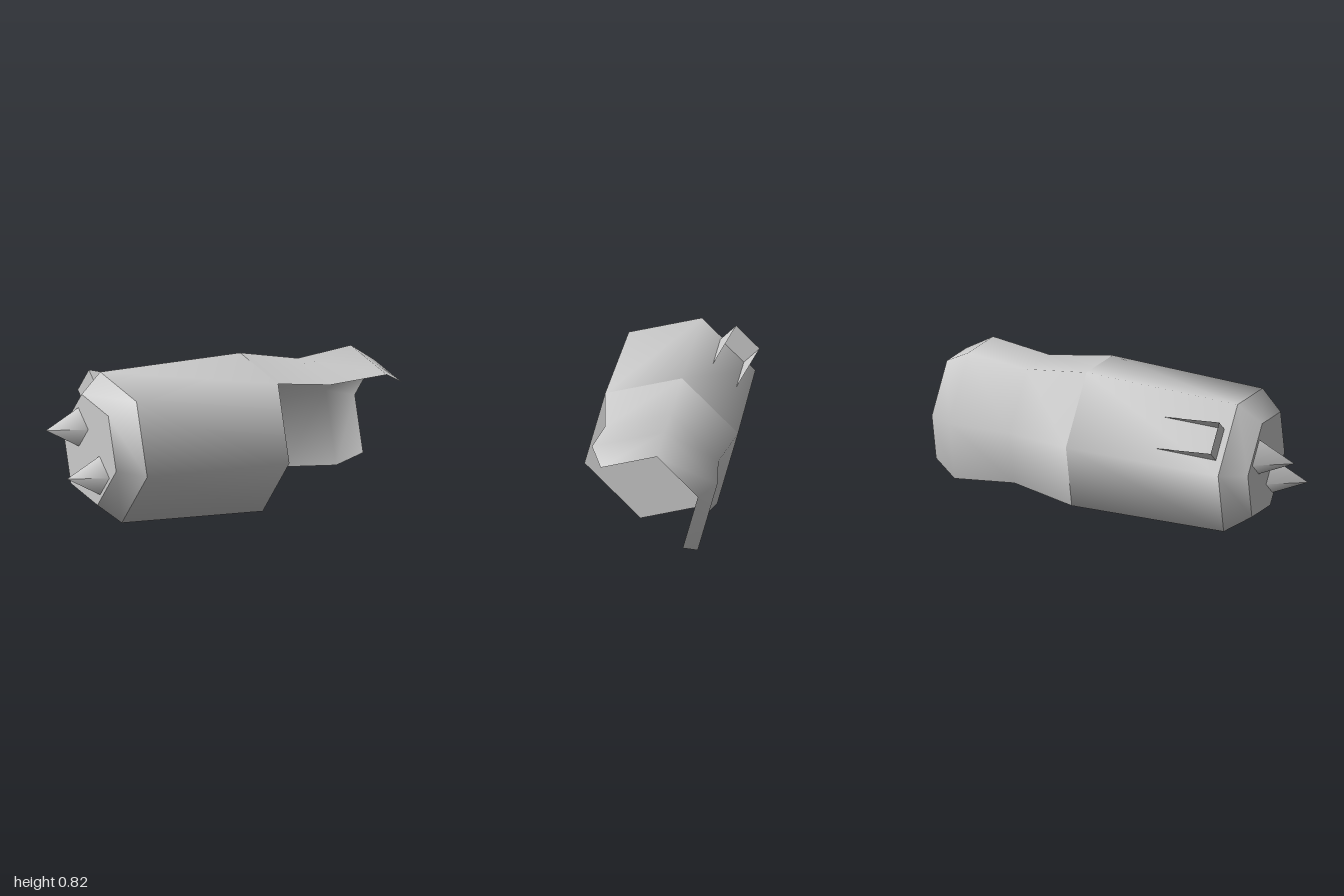
import * as THREE from 'three';

const grey = new THREE.MeshStandardMaterial({ color: 0xcccccc, side: THREE.DoubleSide });
grey.name = 'light grey';

const START = Math.PI / 4, STEP = Math.PI / 3;

// Skin over six-sided rings [position along x, radius]; 'sides' below 6 leaves it open
function loft(name, rings, sides = 6, start = START) {
  const closed = sides === 6, n = closed ? 6 : sides + 1;
  const pos = [], idx = [];
  for (const [s, r] of rings) {
    for (let j = 0; j < n; j++) {
      const a = start + j * STEP;
      pos.push(s, r * Math.cos(a), r * Math.sin(a));
    }
  }
  for (let i = 0; i < rings.length - 1; i++) {
    for (let j = 0; j < sides; j++) {
      const a = i * n + j, b = i * n + (j + 1) % n;
      idx.push(a, b, b + n, a, b + n, a + n);
    }
  }
  return makeMesh(name, pos, idx);
}

function makeMesh(name, pos, idx) {
  const geo = new THREE.BufferGeometry();
  geo.setAttribute('position', new THREE.Float32BufferAttribute(pos, 3));
  geo.setIndex(idx);
  geo.computeVertexNormals();
  const mesh = new THREE.Mesh(geo, grey);
  mesh.name = name;
  return mesh;
}

export function createModel() {
  const model = new THREE.Group();
  model.name = 'cannon';

  // Everything lies along a slightly tilted axis, x = 0 being the body's open-side cap
  const axis = new THREE.Group();
  axis.name = 'tiltedAxis';
  axis.position.set(0.19, 0.415, -0.01);
  axis.rotation.set(0, 0.09, 0.018);
  model.add(axis);

  // Six-sided body, bevelled at the spiked end
  axis.add(
    loft('body', [[-0.85, 0.404], [0, 0.424]]),
    loft('bevel', [[-0.98, 0.297], [-0.85, 0.404]]),
    loft('spikedEnd', [[-0.98, 0], [-0.98, 0.297]]),
    loft('plainEnd', [[0, 0.424], [0, 0]]),
  );

  // Open half sleeve continuing three sides of the body
  axis.add(loft('sleeve', [[0, 0.424], [0.34, 0.362], [0.667, 0.4], [0.795, 0.31]], 3, START - 3 * STEP));

  // Two spikes on the end
  for (const [y, z] of [[0.106, -0.115], [-0.123, 0.107]]) {
    const spike = new THREE.Mesh(new THREE.ConeGeometry(0.107, 0.205, 4), grey);
    spike.name = 'spike';
    spike.rotation.z = Math.PI / 2;
    spike.position.set(-1.0765, y, z);
    axis.add(spike);
  }

  // Sight on the upper back side: two thin triangular fins joined by a cross plate
  const sight = new THREE.Group();
  sight.name = 'sight';
  sight.rotation.x = -Math.PI / 4; // local y is now the outward direction of that side
  const base = 0.348, top = 0.469, rear = -0.815, tip = -0.473, t0 = -0.12, t1 = 0.057;
  for (const t of [t0, t1]) {
    sight.add(makeMesh('fin', [rear, base, t, tip, 0.357, t, rear, top, t], [0, 1, 2]));
  }
  sight.add(makeMesh('crossPlate',
    [rear, base, t0, rear, base, t1, rear, top, t1, rear, top, t0], [0, 1, 2, 0, 2, 3]));
  axis.add(sight);

  return model;
}
